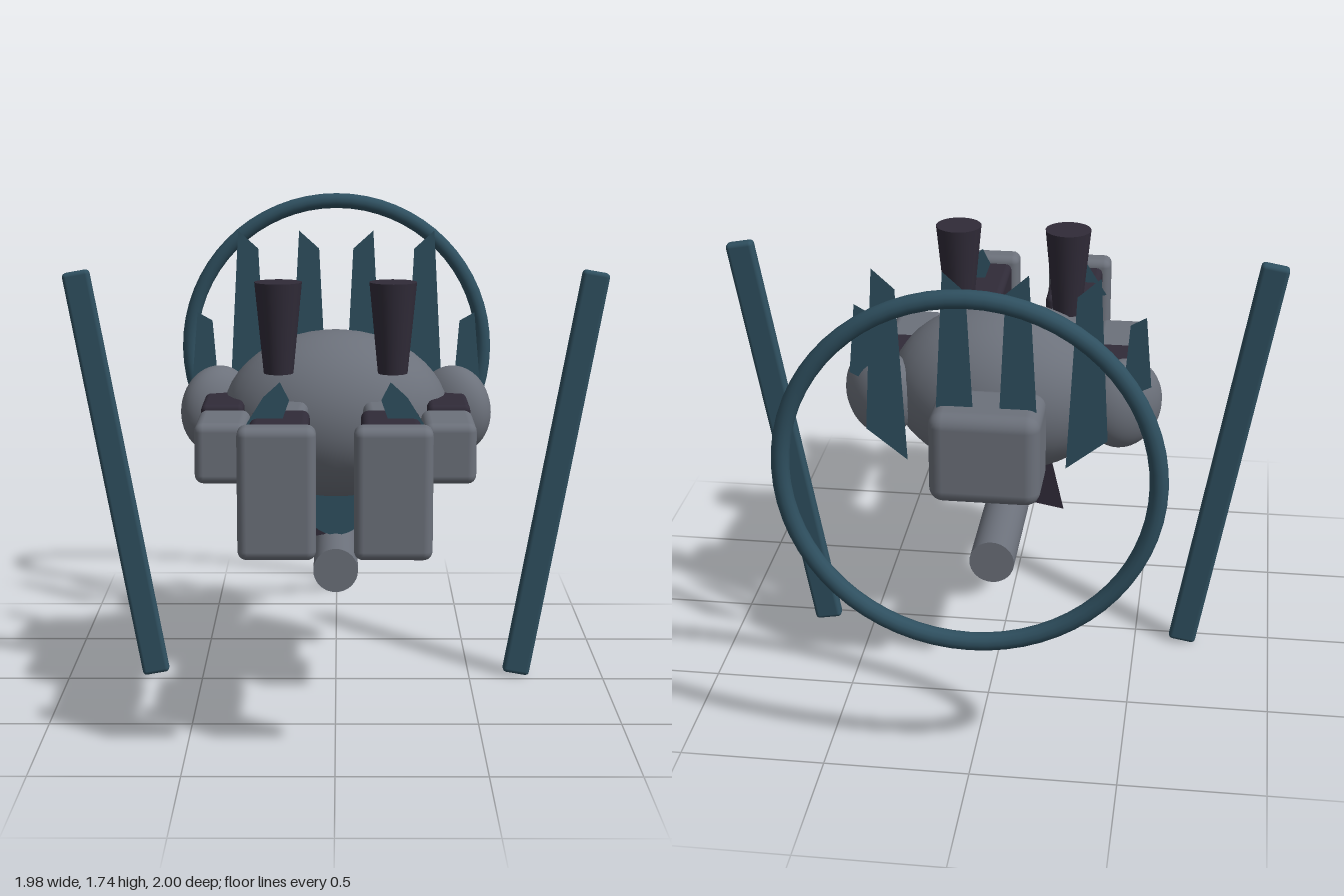
import * as THREE from 'three';
import { RoundedBoxGeometry } from 'three/addons/geometries/RoundedBoxGeometry.js';

const grey = new THREE.MeshStandardMaterial({ color: 0x6c717b });
const dark = new THREE.MeshStandardMaterial({ color: 0x302b38 });
const teal = new THREE.MeshStandardMaterial({ color: 0x2f5060 });
const tealThin = new THREE.MeshStandardMaterial({ color: 0x2f5060, side: THREE.DoubleSide });
const darkThin = new THREE.MeshStandardMaterial({ color: 0x302b38, side: THREE.DoubleSide });

export function createModel() {
  const root = new THREE.Group();

  const add = (name, geometry, material, x, y, z) => {
    const mesh = new THREE.Mesh(geometry, material);
    mesh.name = name;
    mesh.position.set(x, y, z);
    root.add(mesh);
    return mesh;
  };
  const box = (w, h, d, r) => new RoundedBoxGeometry(w, h, d, 3, r);
  const ball = (rx, ry, rz) => new THREE.SphereGeometry(1, 32, 24).scale(rx, ry, rz);
  // flat plate in the xy plane
  const plate = (points) => new THREE.ShapeGeometry(new THREE.Shape(points.map(([x, y]) => new THREE.Vector2(x, y))));
  // pointed blade with a slanted foot; s flips it to the other side
  const blade = (s, w, h) => plate([[0, 0], [1, 0.16], [0.77, 1], [0.22, 0.9]].map(([x, y]) => [s * x * w, y * h]));

  // Torso, neck and head
  add('torso', ball(0.41, 0.305, 0.31), grey, 0, 1.01, -0.03);
  add('neck', new THREE.CylinderGeometry(0.08, 0.08, 0.16, 24).rotateX(Math.PI / 2), grey, 0, 1.0, -0.33);
  add('head', box(0.38, 0.33, 0.265, 0.05), grey, 0, 0.985, -0.49);
  add('visor', box(0.26, 0.04, 0.05, 0.01), teal, 0, 0.82, -0.495);

  // Hip disc, skirt plate and the canister below
  add('hipDisc', new THREE.CylinderGeometry(0.115, 0.115, 0.07, 32).rotateX(Math.PI / 2), teal, 0, 0.675, -0.025);
  add('skirt', plate([[-0.22, 0.52], [0.19, 0.595], [0.11, 0.8], [-0.155, 0.8]]), darkThin, 0, 0, -0.03);
  add('canister', new THREE.CylinderGeometry(0.08, 0.08, 0.635, 32).rotateX(Math.PI / 2), grey, 0, 0.485, -0.083);

  // Ring behind the head
  add('ring', new THREE.TorusGeometry(0.603, 0.03, 12, 64), teal, 0, 1.11, -0.965);

  for (const s of [1, -1]) {
    const side = s > 0 ? 'left' : 'right';

    // Arm
    const shoulder = add(side + 'Shoulder', ball(0.15, 0.165, 0.106), grey, s * 0.435, 1.005, -0.12);
    shoulder.rotation.y = -s * 0.66;
    add(side + 'UpperArm', box(0.15, 0.155, 0.32, 0.02), dark, s * 0.4, 1.007, 0.07);
    add(side + 'Forearm', box(0.18, 0.21, 0.29, 0.03), grey, s * 0.39, 0.965, 0.365);

    // Leg
    const thigh = add(side + 'Thigh', box(0.165, 0.19, 0.34, 0.03), grey, s * 0.183, 1.005, 0.38);
    thigh.rotation.y = s * 0.04;
    add(side + 'Knee', ball(0.09, 0.085, 0.085), teal, s * 0.185, 0.985, 0.575);
    add(side + 'Shin', box(0.195, 0.215, 0.35, 0.025), dark, s * 0.183, 1.022, 0.725);
    add(side + 'Foot', box(0.25, 0.43, 0.1, 0.03), grey, s * 0.185, 0.935, 0.95);

    // Tapered cannon, wide end up
    add(side + 'Cannon', new THREE.CylinderGeometry(0.083, 0.052, 0.32, 24), dark, s * 0.2, 1.36, 0.23);

    // Blades on the back of the head, shoulders and shins
    for (const x of [0.035, 0.27]) {
      add(side + 'HeadBlade', blade(s, 0.14, 0.69), tealThin, s * x, 0.94, -0.53);
    }
    add(side + 'ShoulderBlade', blade(s, 0.1, 0.31), tealThin, s * 0.435, 1.05, -0.183);
    const shinFin = [[0.2, 1.05], [0.31, 1.08], [0.235, 1.2], [0.18, 1.25], [0.15, 1.19]];
    add(side + 'ShinBlade', plate(shinFin.map(([x, y]) => [s * x, y])), tealThin, 0, 0, 0.72);

    // Long slanted side panel
    const panel = add(side + 'SidePanel', box(0.1, 1.54, 0.045, 0.015), teal, s * 0.81, 0.767, -0.055);
    panel.rotation.z = -s * 0.175;
  }
  return root;
}
